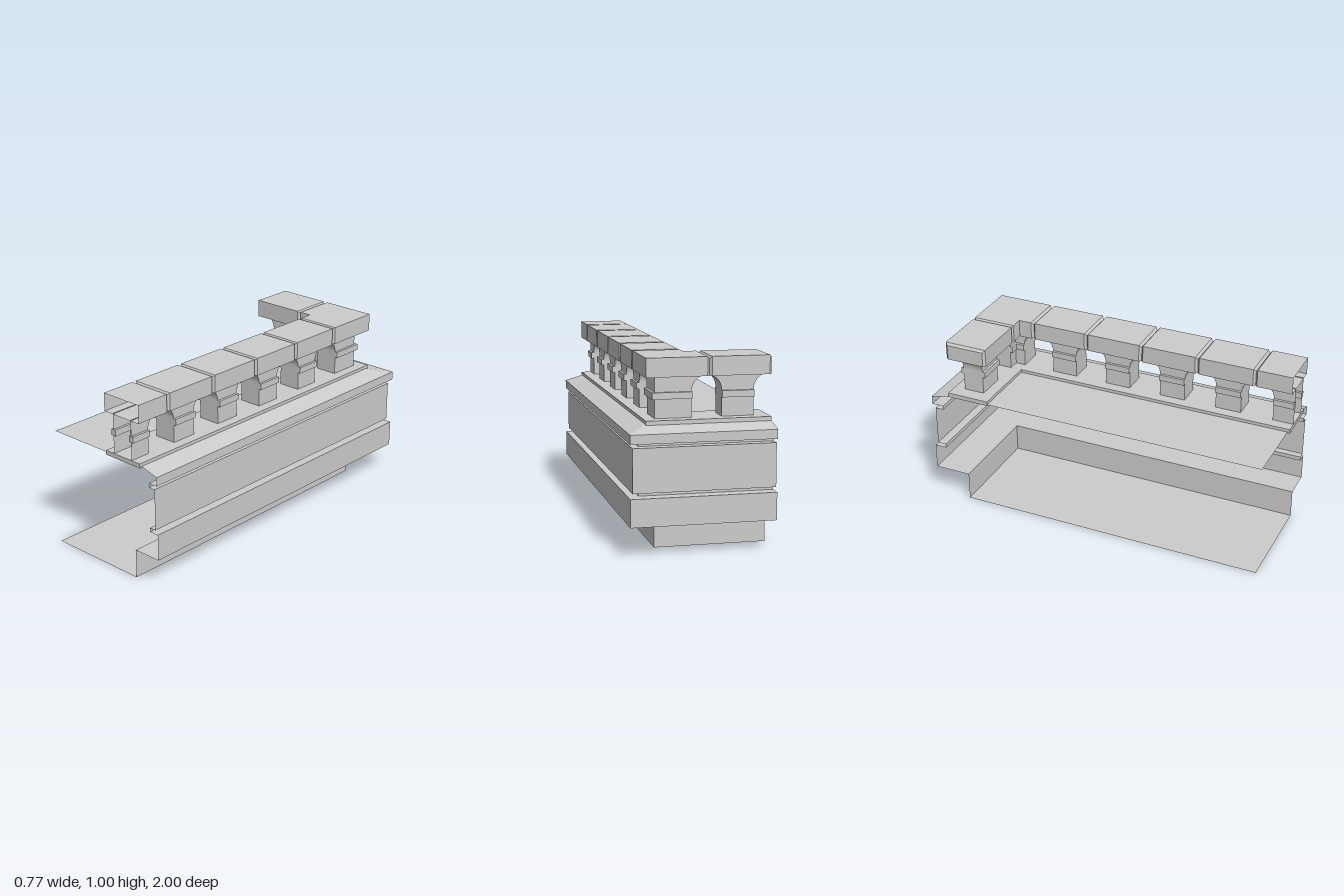
import * as THREE from 'three';

const LEFT = -0.385, FRONT = 0.987;
const FLOOR = 0.685, SPRING = 0.82, CROWN = 0.905, TOP = 1.005;

export function createModel() {
  const group = new THREE.Group();
  const stone = new THREE.MeshStandardMaterial({ color: 0xcccccc, side: THREE.DoubleSide });
  stone.name = 'greyStone';

  const add = (name, geometry) => {
    const mesh = new THREE.Mesh(geometry, stone);
    mesh.name = name;
    group.add(mesh);
    return mesh;
  };

  // Surface through rows of points, either faceted or smooth
  const grid = (rows, smooth = false) => {
    const n = rows[0].length, index = [];
    for (let i = 0; i < rows.length - 1; i++) {
      for (let j = 0; j < n - 1; j++) {
        const a = i * n + j, b = a + 1, c = a + n, d = c + 1;
        index.push(a, b, c, b, d, c);
      }
    }
    let g = new THREE.BufferGeometry();
    g.setAttribute('position', new THREE.Float32BufferAttribute(rows.flat(2), 3));
    g.setIndex(index);
    if (!smooth) g = g.toNonIndexed();
    g.computeVertexNormals();
    return g;
  };

  const box = (name, x0, x1, y0, y1, z0, z1) =>
    add(name, new THREE.BoxGeometry(x1 - x0, y1 - y0, z1 - z0)
      .translate((x0 + x1) / 2, (y0 + y1) / 2, (z0 + z1) / 2));

  const floor = (name, y, x1, z0) =>
    add(name, new THREE.PlaneGeometry(x1 - LEFT, FRONT - z0).rotateX(-Math.PI / 2)
      .translate((x1 + LEFT) / 2, y, (FRONT + z0) / 2));

  // Moulded wall: inset/height profile swept round the right side and back
  const profile = [
    [0.21, 0], [0.21, 0.163], [0, 0.163], [0, 0.31], [0.07, 0.31], [0.07, 0.333],
    [0.02, 0.333], [0.02, 0.565], [0.07, 0.565], [0.07, 0.588], [0, 0.588],
    [0, 0.637], [0.13, 0.667],
  ];
  const outerX = d => 0.383 - d * 0.8, outerZ = d => -1 + d;
  add('mouldedWall', grid(profile.map(([d, y]) => [
    [outerX(d), y, FRONT], [outerX(d), y, outerZ(d)], [LEFT, y, outerZ(d)],
  ])));
  floor('underside', 0, outerX(0.21), outerZ(0.21)).geometry.scale(1, 1, 1);
  floor('terrace', 0.667, outerX(0.13), outerZ(0.13));

  // The two straight runs of the balustrade; s goes along the run, t across it
  const runs = [
    {
      name: 'side', side: true, arches: [-0.553, -0.218, 0.117, 0.452, 0.787], half: 0.093,
      end: 1, outer: 0.22, inner: 0.09, outerStart: -0.825, innerStart: -0.705,
      cap: [0.028, 0.278], capStart: -0.888, capEnd: 1,
    },
    {
      name: 'back', side: false, arches: [LEFT, -0.055], half: 0.08,
      outer: -0.825, inner: -0.705, outerEnd: 0.22, innerEnd: 0.09,
      outerStart: LEFT, innerStart: LEFT,
      cap: [-0.888, -0.64], capStart: LEFT, capEnd: 0.028,
    },
  ];

  for (const r of runs) {
    const place = (s, y, t) => (r.side ? [t, y, s] : [s, y, t]);

    // Arch outline; an arch centred on the end of the run is only a half
    const archPoints = c => {
      const pts = [[c - r.half, FLOOR]];
      for (let i = 0; i <= 16; i++) {
        const a = (i / 16) * Math.PI;
        pts.push([c - r.half * Math.cos(a), SPRING + (CROWN - SPRING) * Math.sin(a)]);
      }
      pts.push([c + r.half, FLOOR]);
      return c === LEFT ? pts.filter(p => p[0] >= c - 1e-6) : pts;
    };

    // Flat inner and outer faces of the arcade
    const face = (name, start, end, t) => {
      const pts = r.arches[0] === start ? [] : [[start, FLOOR]];
      r.arches.forEach(c => pts.push(...archPoints(c)));
      pts.push([end, FLOOR], [end, CROWN + 0.004], [start, CROWN + 0.004]);
      const g = new THREE.ShapeGeometry(new THREE.Shape(pts.map(p => new THREE.Vector2(...p))));
      if (r.side) g.rotateY(-Math.PI / 2).translate(t, 0, 0);
      else g.translate(0, 0, t);
      add(name, g);
    };
    const outerEnd = r.end ?? r.outerEnd, innerEnd = r.end ?? r.innerEnd;
    face(r.name + 'ArcadeOuterFace', r.outerStart, outerEnd, r.outer);
    face(r.name + 'ArcadeInnerFace', r.innerStart, innerEnd, r.inner);

    // Curved linings of the arches
    for (const c of r.arches) {
      add(r.name + 'ArchLining', grid(archPoints(c).map(([s, y]) =>
        [place(s, y, r.inner), place(s, y, r.outer)]), true));
    }

    // Projecting bands on both faces of each pier
    const band = (s0, s1, t) => {
      const a = place(s0, 0, t - 0.015), b = place(s1, 0, t + 0.015);
      box(r.name + 'PierBand', a[0], b[0], 0.785, SPRING, a[2], b[2]);
    };
    for (const [t, start, end] of [[r.outer, r.outerStart, outerEnd], [r.inner, r.innerStart, innerEnd]]) {
      const edges = r.arches.flatMap(c => [c - r.half, c + r.half]);
      if (r.side) edges.unshift(start - (t === r.outer ? 0.015 : 0));
      else edges.shift();
      edges.push(end + (!r.side && t === r.outer ? 0.015 : 0));
      for (let i = 0; i < edges.length; i += 2) band(edges[i], edges[i + 1], t);
    }

    // Coping: a rectangular tube pinched by a groove above every arch
    const [t0, t1] = r.cap;
    const ring = (s, inset) => {
      const a = t0 + inset, b = t1 - inset, y = TOP - inset;
      return [[a, CROWN], [a, y], [b, y], [b, CROWN], [a, CROWN]].map(([t, h]) => place(s, h, t));
    };
    const point = s => Array(5).fill(place(s, (CROWN + TOP) / 2, (t0 + t1) / 2));
    const rings = [point(r.capStart)];
    if (r.arches[0] !== r.capStart) rings.push(ring(r.capStart, 0));
    for (const c of r.arches) {
      if (c > r.capStart) rings.push(ring(c - 0.012, 0));
      rings.push(ring(c, 0.014), ring(c + 0.012, 0));
    }
    rings.push(ring(r.capEnd, 0));
    add(r.name + 'Coping', grid(rings));

    // Low plinth under the piers
    const a = place(r.capStart, 0, t0), b = place(r.capEnd, 0, t1);
    box(r.name + 'Plinth', a[0], b[0], 0.66, FLOOR, a[2], b[2]);
  }
  return group;
}
